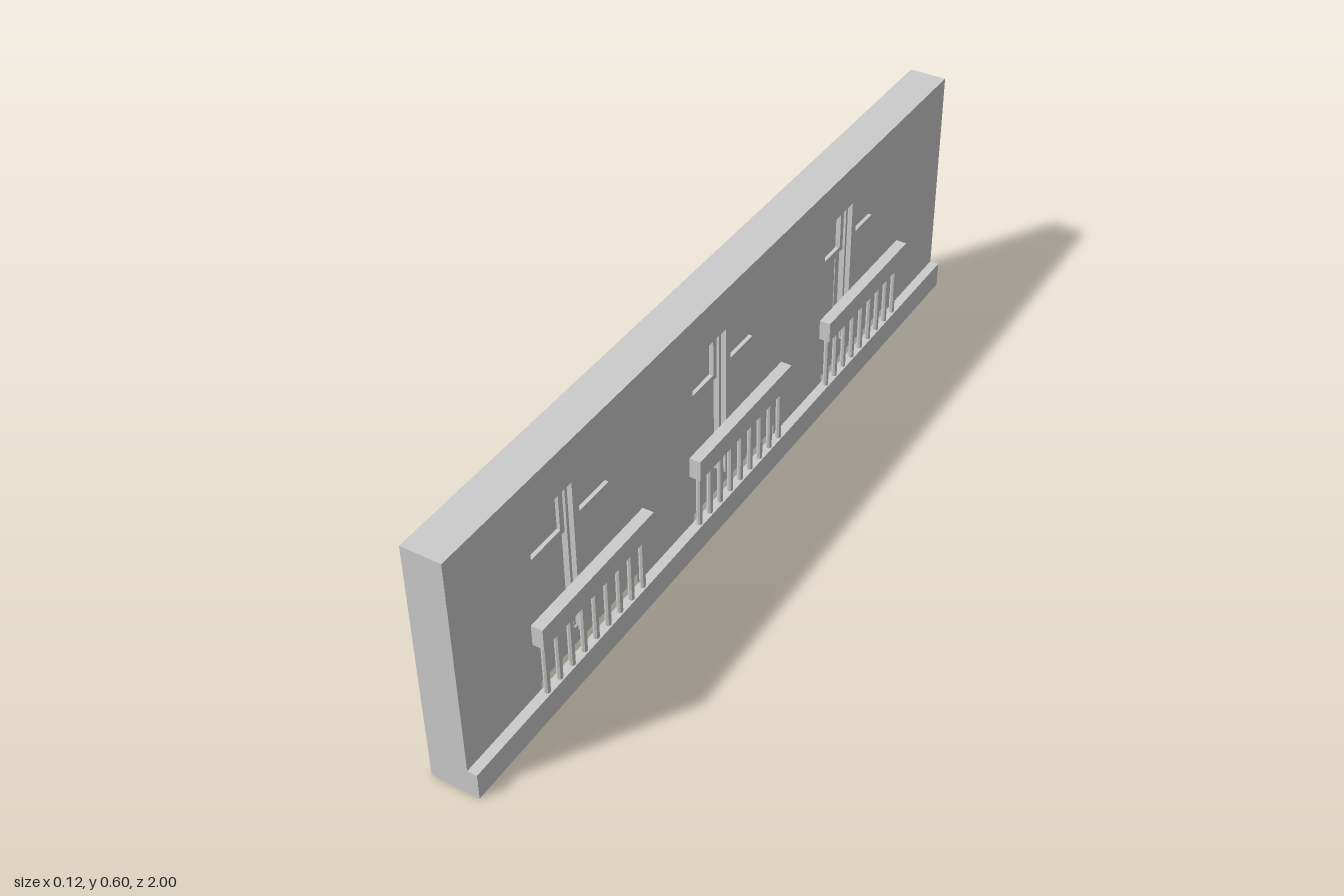
import * as THREE from 'three';

const material = new THREE.MeshStandardMaterial({ color: 0xcccccc, flatShading: true });
const BAYS = [0.58, 0.003, -0.574]; // z centres of the windows
const SILL = 0.065, HEAD = 0.5, HALF = 0.175;

function add(parent, name, geometry) {
  const mesh = new THREE.Mesh(geometry, material);
  mesh.name = name;
  parent.add(mesh);
  return mesh;
}

// Box given by its limits on each axis
function block(parent, name, [x0, x1], [y0, y1], [z0, z1]) {
  const mesh = add(parent, name, new THREE.BoxGeometry(x1 - x0, y1 - y0, z1 - z0));
  mesh.position.set((x0 + x1) / 2, (y0 + y1) / 2, (z0 + z1) / 2);
  return mesh;
}

function trace(path, z0, z1, y0, y1) {
  path.moveTo(-z0, y0);
  path.lineTo(-z1, y0);
  path.lineTo(-z1, y1);
  path.lineTo(-z0, y1);
  path.closePath();
  return path;
}

// Upright panel in the zy plane with rectangular holes, from x0 to x1
function panel(parent, name, [x0, x1], rect, holes) {
  const shape = trace(new THREE.Shape(), ...rect);
  shape.holes = holes.map((h) => trace(new THREE.Path(), ...h));
  const geometry = new THREE.ExtrudeGeometry(shape, { depth: x1 - x0, bevelEnabled: false });
  geometry.rotateY(Math.PI / 2);
  geometry.translate(x0, 0, 0);
  return add(parent, name, geometry);
}

function frame(parent, name, x, [z0, z1, y0, y1], t) {
  return panel(parent, name, x, [z0, z1, y0, y1], [[z0 + t, z1 - t, y0 + t, y1 - t]]);
}

function createWindow() {
  const bay = new THREE.Group();
  bay.name = 'window';
  const BACK = -0.025;

  // Stepped outer frame and centre mullion
  frame(bay, 'outerFrame', [BACK, 0.018], [-HALF, HALF, SILL, HEAD], 0.012);
  frame(bay, 'innerFrame', [BACK, 0.006], [-HALF + 0.012, HALF - 0.012, SILL + 0.012, HEAD - 0.012], 0.012);
  block(bay, 'mullion', [BACK, 0.012], [SILL + 0.012, HEAD - 0.012], [-0.01, 0.01]);
  block(bay, 'mullionBacking', [BACK, 0], [SILL + 0.024, HEAD - 0.024], [-0.018, 0.018]);

  // A tall upper and a set-back lower sash on each side
  for (const side of [-1, 1]) {
    const z0 = side > 0 ? 0.018 : -HALF + 0.024;
    const z1 = side > 0 ? HALF - 0.024 : -0.018;
    frame(bay, 'upperSash', [BACK, -0.006], [z0, z1, 0.345, HEAD - 0.024], 0.014);
    frame(bay, 'lowerSash', [BACK, -0.014], [z0, z1, SILL + 0.024, 0.345], 0.018);
  }
  return bay;
}

function createBalustrade() {
  const balustrade = new THREE.Group();
  balustrade.name = 'balustrade';
  block(balustrade, 'handrail', [0.034, 0.061], [0.21, 0.262], [-0.197, 0.197]);
  const geometry = new THREE.CylinderGeometry(0.007, 0.007, 0.21 - SILL, 8);
  for (let i = 0; i < 9; i++) {
    const post = add(balustrade, 'baluster', geometry);
    post.position.set(0.043, (0.21 + SILL) / 2, -0.174 + i * 0.0435);
  }
  return balustrade;
}

export function createModel() {
  const model = new THREE.Group();
  model.name = 'balconyFacade';

  // Wall: solid back, front layer pierced by the window openings
  block(model, 'wallBack', [-0.062, -0.025], [0, 0.6], [-1, 1]);
  panel(model, 'wallFront', [-0.025, 0.03], [-1, 1, 0, 0.6],
    BAYS.map((z) => [z - HALF, z + HALF, SILL, HEAD]));
  block(model, 'ledge', [0.03, 0.053], [0, SILL], [-1, 1]);

  for (const z of BAYS) {
    const bay = new THREE.Group();
    bay.name = 'balconyBay';
    bay.add(createWindow(), createBalustrade());
    bay.position.z = z;
    model.add(bay);
  }
  return model;
}
